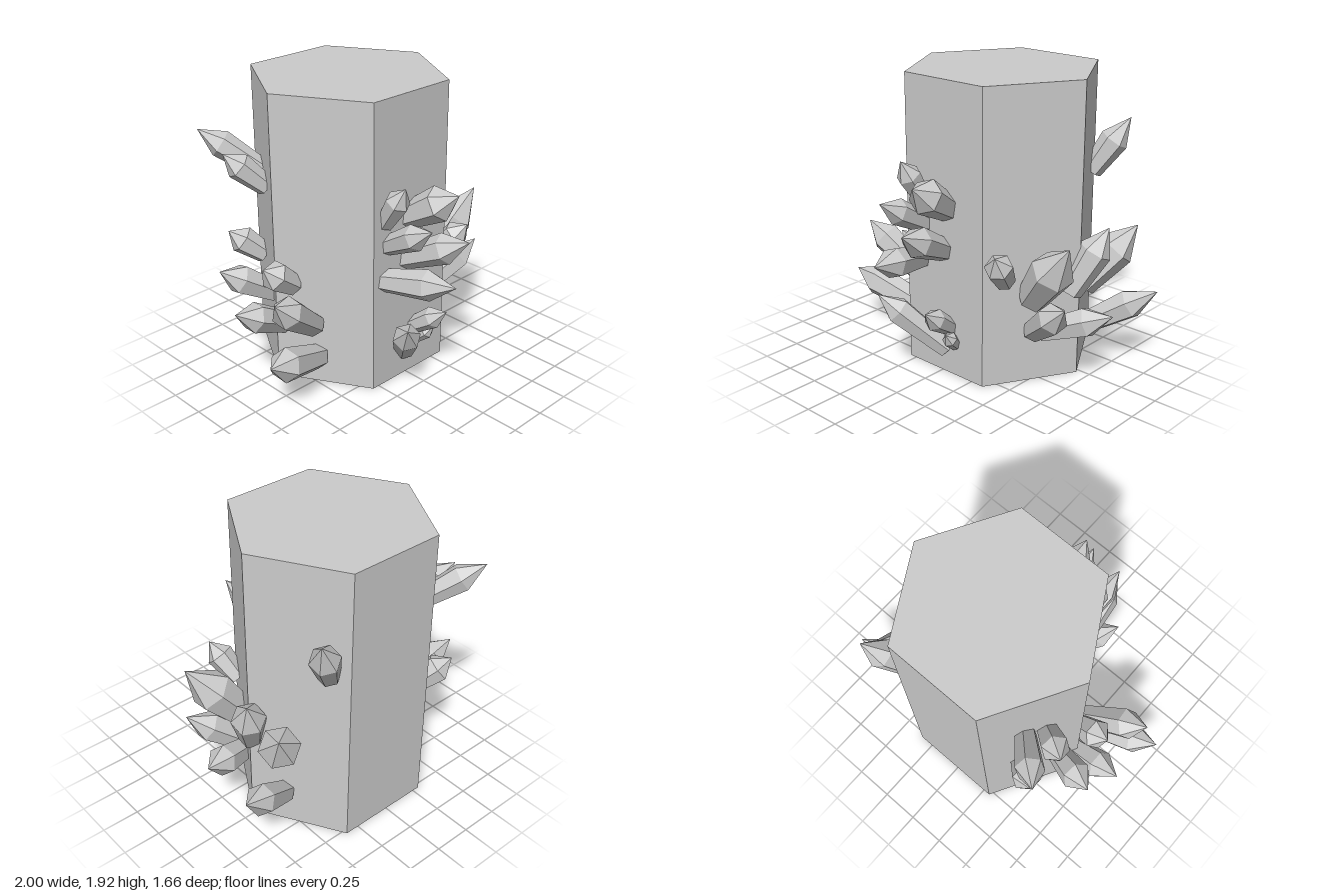
import * as THREE from 'three';
import { mergeGeometries } from 'three/addons/utils/BufferGeometryUtils.js';

const material = new THREE.MeshStandardMaterial({ color: 0xcccccc, flatShading: true });

// Six-sided crystal from base to tip: a shaft widening to a shoulder, then a point.
function crystal([base, tip, radius, shoulder = 0.64]) {
  const from = new THREE.Vector3(...base);
  const axis = new THREE.Vector3(...tip).sub(from);
  const length = axis.length();
  const shaftLength = length * shoulder;
  const pointLength = length - shaftLength;
  const shaft = new THREE.CylinderGeometry(radius, radius * 0.74, shaftLength, 6);
  shaft.translate(0, shaftLength / 2, 0);
  const point = new THREE.ConeGeometry(radius, pointLength, 6, 1, true);
  point.translate(0, shaftLength + pointLength / 2, 0);
  const mesh = new THREE.Mesh(mergeGeometries([shaft, point]), material);
  mesh.position.copy(from);
  mesh.quaternion.setFromUnitVectors(new THREE.Vector3(0, 1, 0), axis.normalize());
  return mesh;
}

// Each crystal: base, tip, shoulder radius, shoulder height as a share of the length
const clusters = {
  frontCrystal: [
    [[-0.18, 1.13, 0.31], [-0.19, 1.41, 0.49], 0.08],
    [[0.03, 1.11, 0.3], [0.09, 1.335, 0.665], 0.115],
    [[-0.16, 0.97, 0.31], [-0.17, 1.19, 0.69], 0.085],
    [[0.0, 0.83, 0.31], [0.09, 1.06, 0.76], 0.1],
    [[-0.19, 0.74, 0.3], [-0.09, 0.84, 0.82], 0.1],
    [[0.01, 0.15, 0.31], [-0.29, 0.54, 0.62], 0.09, 0.72],
    [[0.06, 0.31, 0.31], [0.1, 0.51, 0.59], 0.072],
    [[0.1, 0.2, 0.31], [0.14, 0.33, 0.45], 0.05],
  ],
  leftCrystal: [
    [[0.42, 0.71, 0.21], [0.5, 0.93, 0.4], 0.09],
    [[0.51, 0.57, 0.05], [0.86, 1.01, 0.15], 0.14, 0.56],
    [[0.51, 0.34, 0.04], [0.86, 0.63, 0.18], 0.1],
    [[0.54, 0.33, -0.01], [0.96, 0.5, -0.18], 0.1],
    [[0.62, 0.57, -0.18], [0.78, 0.99, -0.36], 0.11],
    [[0.56, 0.54, -0.39], [0.79, 0.93, -0.665], 0.13, 0.6],
    [[0.56, 0.24, -0.42], [1.0, 0.54, -0.61], 0.1],
    [[0.41, 1.22, -0.66], [0.6, 1.58, -0.81], 0.095, 0.58],
  ],
  rightCrystal: [
    [[-0.44, 1.32, -0.54], [-0.72, 1.585, -0.81], 0.09],
    [[-0.5, 1.25, -0.42], [-0.72, 1.485, -0.56], 0.09],
    [[-0.42, 0.7, -0.57], [-0.61, 0.88, -0.7], 0.095],
    [[-0.55, 0.68, -0.13], [-0.78, 0.86, -0.14], 0.1],
    [[-0.5, 0.42, 0.0], [-0.91, 0.76, 0.12], 0.105, 0.7],
    [[-0.54, 0.55, -0.34], [-0.88, 0.77, -0.45], 0.1],
    [[-0.55, 0.38, -0.21], [-0.95, 0.58, -0.22], 0.1],
    [[-0.49, 0.19, 0.02], [-1.0, 0.39, 0.17], 0.11, 0.7],
  ],
};

export function createModel() {
  const group = new THREE.Group();

  // Hexagonal column with corners on the x axis
  const columnGeometry = new THREE.CylinderGeometry(0.643, 0.643, 1.925, 6);
  columnGeometry.rotateY(Math.PI / 6);
  const column = new THREE.Mesh(columnGeometry, material);
  column.name = 'column';
  column.position.set(0.023, 0.9625, -0.222);
  group.add(column);

  // Crystals growing out of the column
  for (const [name, list] of Object.entries(clusters)) {
    const cluster = new THREE.Group();
    cluster.name = `${name}Cluster`;
    list.forEach((spec, i) => {
      const mesh = crystal(spec);
      mesh.name = `${name}${i + 1}`;
      cluster.add(mesh);
    });
    group.add(cluster);
  }
  return group;
}
